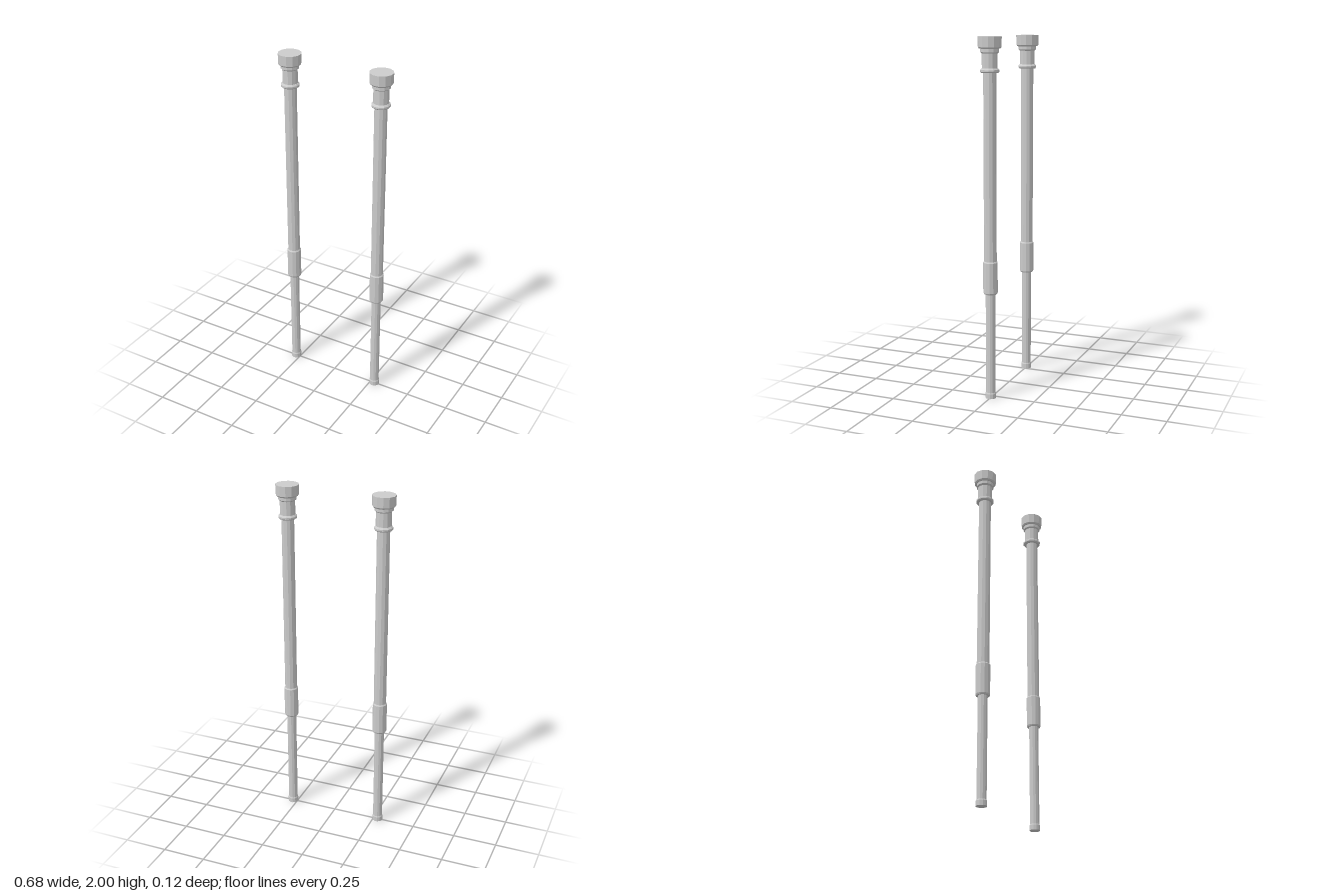
import * as THREE from 'three';

const SIDES = 12;
const material = new THREE.MeshStandardMaterial({ color: 0xcccccc, flatShading: true });

// Turned twelve-sided part; profile points are [flat-to-centre radius, height], bottom to top
function turned(name, profile) {
  const k = 1 / Math.cos(Math.PI / SIDES);
  const points = profile.map(([r, y]) => new THREE.Vector2(r * k, y));
  const mesh = new THREE.Mesh(new THREE.LatheGeometry(points, SIDES, Math.PI / SIDES), material);
  mesh.name = name;
  return mesh;
}

function createPole(name) {
  const pole = new THREE.Group();
  pole.name = name;
  pole.add(
    // Foot with a bevelled upper rim
    turned('foot', [[0, 0], [0.029, 0], [0.029, 0.027], [0.026, 0.034], [0, 0.034]]),
    // Thin telescoping section
    turned('lowerTube', [[0, 0.02], [0.026, 0.02], [0.026, 0.62], [0, 0.62]]),
    // Joint sleeve
    turned('sleeve', [[0, 0.602], [0.035, 0.602], [0.039, 0.61], [0.039, 0.78], [0.034, 0.787], [0, 0.787]]),
    // Wide main section
    turned('upperTube', [[0, 0.77], [0.034, 0.77], [0.034, 1.83], [0, 1.83]]),
    // Ring at the bottom of the neck
    turned('neckRing', [[0, 1.81], [0.045, 1.81], [0.05, 1.816], [0.05, 1.825], [0.042, 1.834], [0, 1.834]]),
    // Neck flaring out under the cap
    turned('neck', [[0, 1.82], [0.041, 1.82], [0.041, 1.911], [0.049, 1.918], [0.049, 1.945], [0, 1.945]]),
    // Flat-topped cap
    turned('cap', [[0, 1.936], [0.055, 1.936], [0.061, 1.944], [0.0625, 2], [0, 2]]),
  );
  return pole;
}

export function createModel() {
  const model = new THREE.Group();
  model.name = 'polePair';
  for (const [name, side] of [['leftPole', 1], ['rightPole', -1]]) {
    const pole = createPole(name);
    pole.position.x = side * 0.276;
    model.add(pole);
  }
  return model;
}
